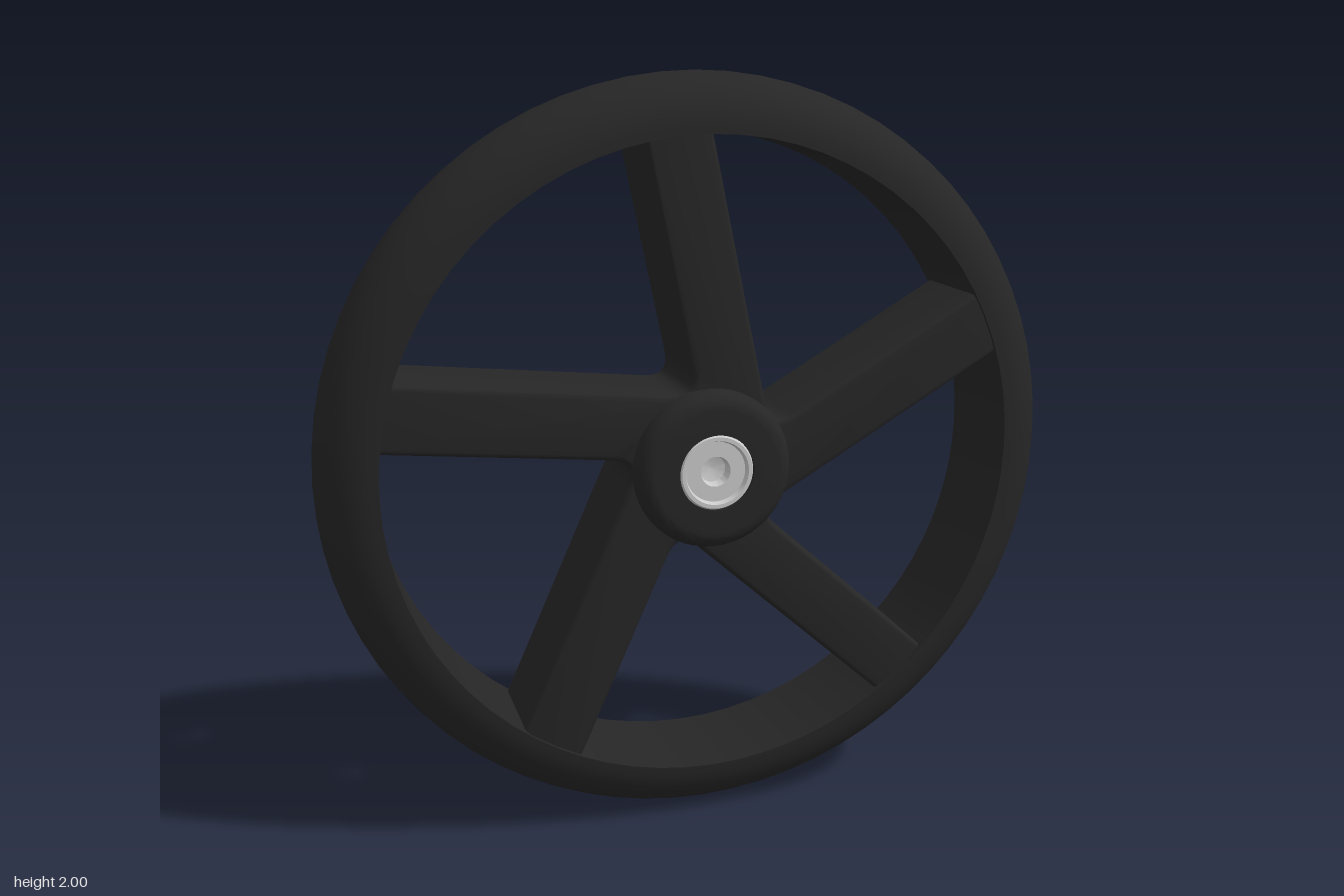
import * as THREE from 'three';
import { toCreasedNormals } from 'three/addons/utils/BufferGeometryUtils.js';

const SPOKES = 5, STEP = (Math.PI * 2) / SPOKES;
const black = new THREE.MeshStandardMaterial({ color: 0x262626 });
const metal = new THREE.MeshStandardMaterial({ color: 0xcccccc });

// Revolve [radius, z] points around the z axis
function turned(name, points, material, segments = 48) {
  const geo = new THREE.LatheGeometry(points.map(([r, z]) => new THREE.Vector2(r, z)), segments);
  geo.rotateX(Math.PI / 2);
  const mesh = new THREE.Mesh(toCreasedNormals(geo, 0.5), material);
  mesh.name = name;
  return mesh;
}

// Points on an arc in the [radius, z] plane
function arc(cx, cy, radius, from, to, steps) {
  return Array.from({ length: steps + 1 }, (_, i) => {
    const a = from + ((to - from) * i) / steps;
    return [cx + radius * Math.cos(a), cy + radius * Math.sin(a)];
  });
}

// Five parallel-sided spokes set off-centre, joined by filleted inner corners
function spokeShape() {
  const left = 0.008, right = 0.183, end = 0.87, fillet = 0.075;
  const cornerV = (right * Math.cos(STEP) - left) / Math.sin(STEP);
  const shape = new THREE.Shape();
  for (let i = 0; i < SPOKES; i++) {
    const at = (k, u, v) => {
      const a = THREE.MathUtils.degToRad(101.8) - k * STEP;
      return [u * Math.sin(a) + v * Math.cos(a), -u * Math.cos(a) + v * Math.sin(a)];
    };
    // where the next spoke's left edge meets this spoke's right edge
    const nextV = right * Math.sin(STEP) + cornerV * Math.cos(STEP);
    if (i === 0) shape.moveTo(...at(0, left, end));
    else shape.lineTo(...at(i, left, end));
    shape.lineTo(...at(i, right, end));
    shape.lineTo(...at(i, right, cornerV + fillet));
    shape.quadraticCurveTo(...at(i, right, cornerV), ...at(i + 1, left, nextV + fillet));
  }
  shape.closePath();
  return shape;
}

export function createModel() {
  const wheel = new THREE.Group();
  wheel.name = 'wheel';

  // Rim: rounded outside, flat inside
  const rim = [[0.85, -0.15], ...arc(0.85, 0, 0.15, -Math.PI / 2, Math.PI / 2, 20).slice(1), [0.85, -0.15]];
  wheel.add(turned('rim', rim, black, 72));

  // Spokes with softly bevelled edges
  const bevel = 0.015, depth = 0.28;
  const geo = new THREE.ExtrudeGeometry(spokeShape(), {
    depth: depth - 2 * bevel, curveSegments: 8,
    bevelThickness: bevel, bevelSize: bevel, bevelOffset: -bevel, bevelSegments: 3,
  });
  geo.translate(0, 0, bevel - depth / 2);
  const spokes = new THREE.Mesh(toCreasedNormals(geo, 0.6), black);
  spokes.name = 'spokes';
  wheel.add(spokes);

  // Hub caps with an open bore
  const cap = (r) => [[0.1, 0.12], [r, 0.12], ...arc(r - 0.045, 0.155, 0.045, 0, Math.PI / 2, 8), [0.1, 0.2], [0.1, 0.12]];
  wheel.add(turned('frontHub', cap(0.21), black));
  const backHub = turned('backHub', cap(0.2), black);
  backHub.rotation.y = Math.PI;
  wheel.add(backHub);

  // Dished axle bolt at the front, plain axle end at the back
  wheel.add(turned('axleBolt', [
    [0.1, 0.12], [0.1, 0.19], [0.095, 0.2], [0.085, 0.2], [0.08, 0.185],
    [0.04, 0.185], [0.035, 0.155], [0, 0.145],
  ], metal));
  const axleEnd = turned('axleEnd', [[0.1, 0.12], [0.1, 0.199], [0, 0.199]], metal);
  axleEnd.rotation.y = Math.PI;
  wheel.add(axleEnd);

  wheel.position.y = 1;
  const model = new THREE.Group();
  model.name = 'spokedWheel';
  model.add(wheel);
  return model;
}
